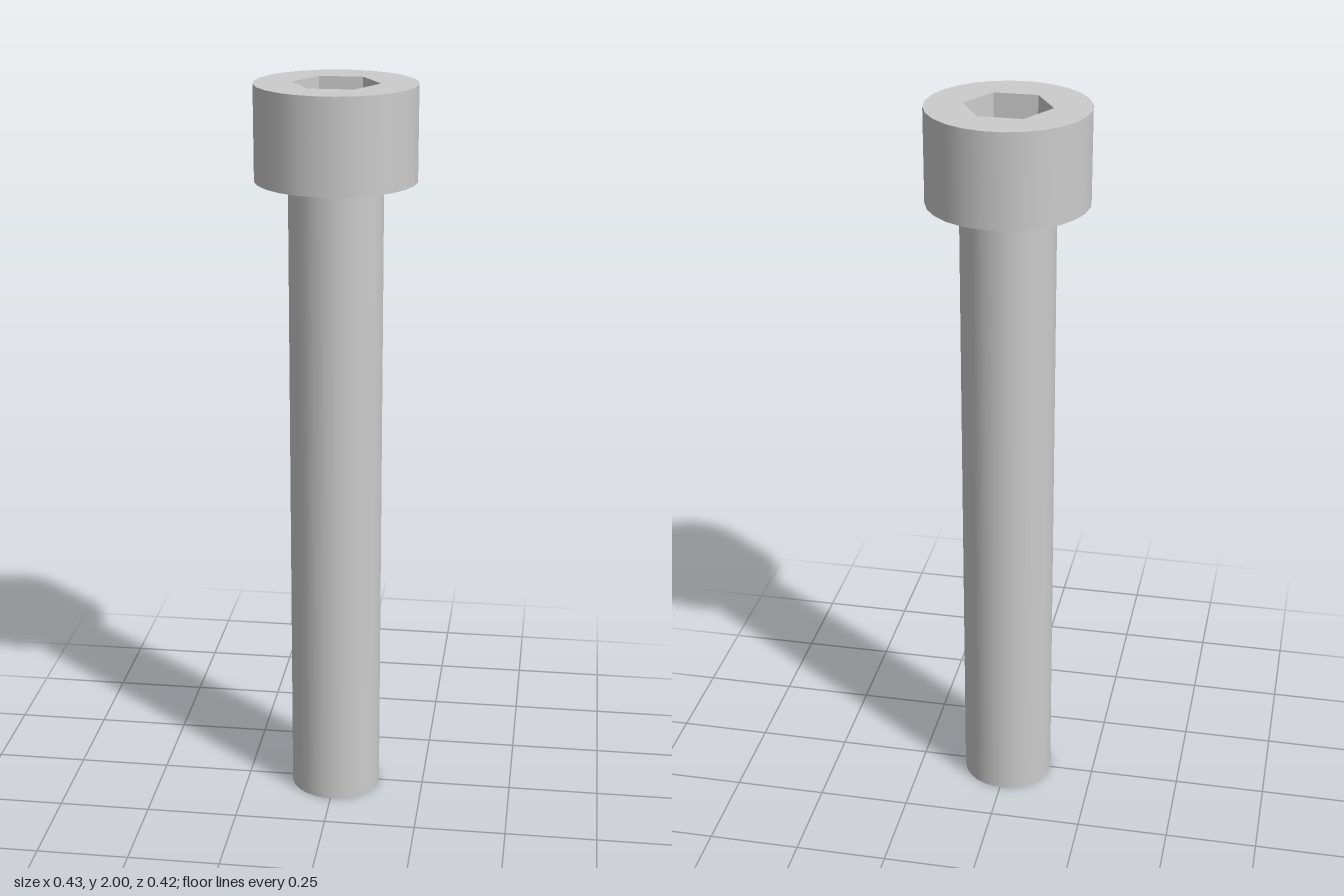
import * as THREE from 'three';

const SIDES = 26;
const HEAD_R = 0.2125, SHANK_R = 0.125, HEX_R = 0.1155;
const TOP = 2, HEAD_BASE = 1.75, SOCKET_FLOOR = 1.875;

// Points of a regular polygon with a corner on +x
function polygon(radius, sides) {
  return Array.from({ length: sides }, (_, i) => {
    const a = (i / sides) * Math.PI * 2;
    return new THREE.Vector2(Math.cos(a) * radius, Math.sin(a) * radius);
  });
}

// Open tube wall between two heights, with a corner on +x
function wall(radius, sides, y0, y1) {
  return new THREE.CylinderGeometry(radius, radius, y1 - y0, sides, 1, true, Math.PI / 2)
    .translate(0, (y0 + y1) / 2, 0);
}

// Lay a flat geometry level at height y, facing up (1) or down (-1)
function level(geometry, y, facing) {
  return geometry.rotateX(-facing * Math.PI / 2).translate(0, y, 0);
}

export function createModel() {
  const group = new THREE.Group();
  const steel = new THREE.MeshStandardMaterial({ color: 0xcccccc });
  steel.name = 'steel grey';

  const add = (name, geometry) => {
    const mesh = new THREE.Mesh(geometry, steel);
    mesh.name = name;
    group.add(mesh);
  };

  // Shank
  add('shank', wall(SHANK_R, SIDES, 0, HEAD_BASE));
  add('shankEnd', level(new THREE.CircleGeometry(SHANK_R, SIDES), 0, -1));

  // Head
  add('headSide', wall(HEAD_R, SIDES, HEAD_BASE, TOP));
  add('headUnderside', level(new THREE.RingGeometry(SHANK_R, HEAD_R, SIDES), HEAD_BASE, -1));
  const rim = new THREE.Shape(polygon(HEAD_R, SIDES));
  rim.holes.push(new THREE.Path(polygon(HEX_R, 6)));
  add('headTop', level(new THREE.ShapeGeometry(rim), TOP, 1));

  // Hexagonal socket: mirrored so its flat walls face inward
  const socket = wall(HEX_R, 6, SOCKET_FLOOR, TOP).toNonIndexed().scale(-1, 1, 1);
  socket.computeVertexNormals();
  add('socketWalls', socket);
  add('socketFloor', level(new THREE.CircleGeometry(HEX_R, 6), SOCKET_FLOOR, 1));

  return group;
}
